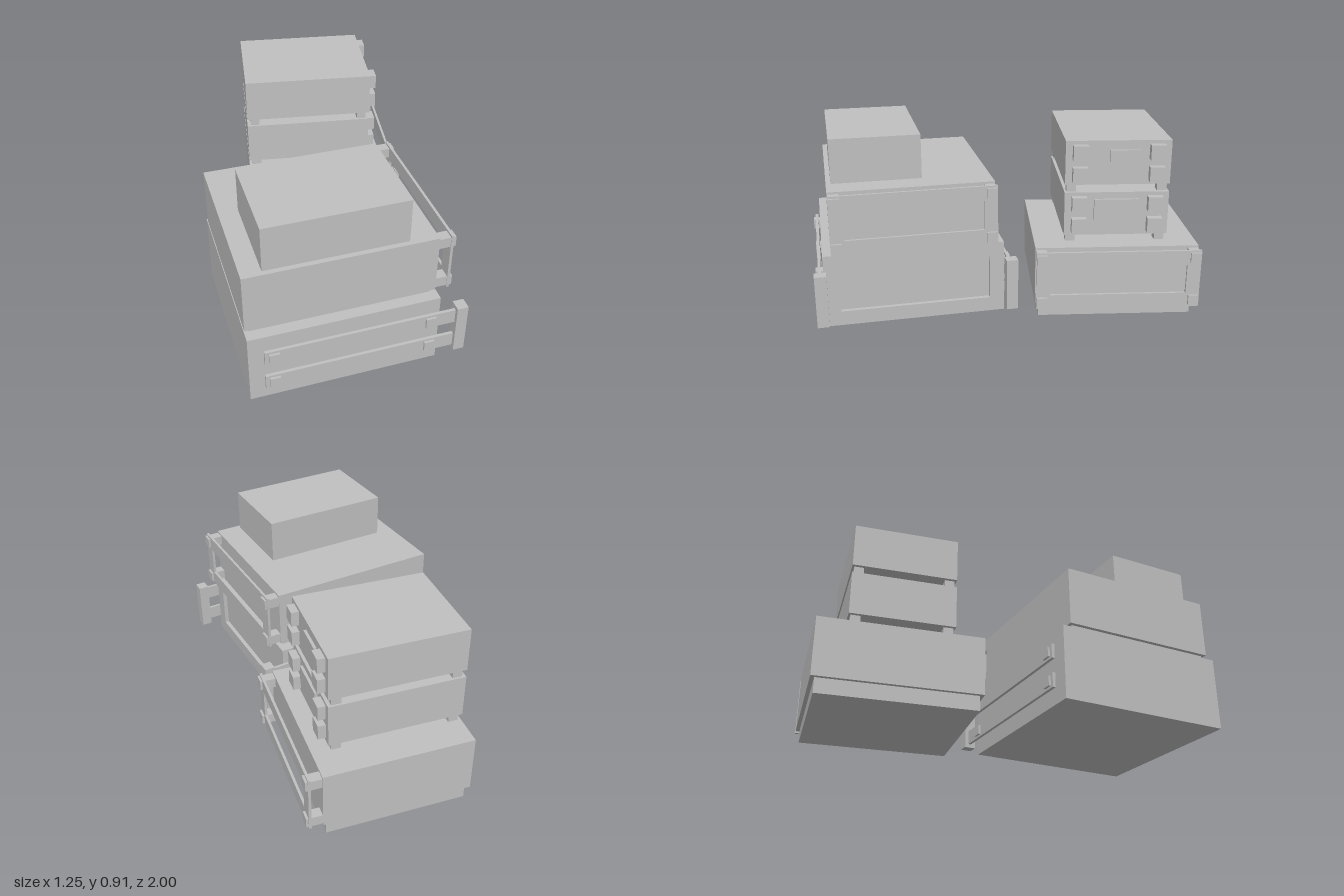
import * as THREE from 'three';

const grey = new THREE.MeshStandardMaterial({ color: 0xc0c0c0 });
grey.name = 'plain grey';

// Box given by its min and max on each axis
function box(parent, name, x0, x1, y0, y1, z0, z1) {
  const mesh = new THREE.Mesh(new THREE.BoxGeometry(x1 - x0, y1 - y0, z1 - z0), grey);
  mesh.position.set((x0 + x1) / 2, (y0 + y1) / 2, (z0 + z1) / 2);
  mesh.name = name;
  parent.add(mesh);
  return mesh;
}

// Rectangular frame facing +x, centred on (y, z), from x0 to x1
function frame(parent, name, x0, x1, y, z, halfH, halfD, holeH, holeD) {
  const rect = (target, w, h) => {
    target.moveTo(-w, -h);
    target.lineTo(w, -h);
    target.lineTo(w, h);
    target.lineTo(-w, h);
    target.closePath();
    return target;
  };
  const shape = rect(new THREE.Shape(), halfD, halfH);
  shape.holes.push(rect(new THREE.Path(), holeD, holeH));
  const geometry = new THREE.ExtrudeGeometry(shape, { depth: x1 - x0, bevelEnabled: false });
  geometry.rotateY(Math.PI / 2);
  const mesh = new THREE.Mesh(geometry, grey);
  mesh.position.set(x0, y, z);
  mesh.name = name;
  parent.add(mesh);
}

// Open frame held off a case's right face by four corner blocks
function standoffFrame(parent, faceX, y, z) {
  const group = new THREE.Group();
  group.name = 'standoffFrame';
  frame(group, 'guardFrame', faceX + 0.055, faceX + 0.068, y, z, 0.149, 0.406, 0.075, 0.338);
  for (const sy of [-1, 1]) for (const sz of [-1, 1]) {
    const cy = y + sy * 0.113, cz = z + sz * 0.377;
    box(group, 'cornerBlock', faceX, faceX + 0.08, cy - 0.026, cy + 0.026, cz - 0.026, cz + 0.026);
  }
  parent.add(group);
}

// Front stack: large case with side rails, framed case, small box
function frontStack() {
  const g = new THREE.Group();
  g.name = 'frontStack';
  const z = 0.508;
  box(g, 'lowerCase', -0.63, 0.255, 0, 0.372, 0.06, 0.956);
  frame(g, 'recessedPanelRim', 0.255, 0.277, 0.186, z, 0.186, 0.448, 0.112, 0.374);
  box(g, 'spacer', -0.61, 0.245, 0.372, 0.393, 0.12, 0.9);
  box(g, 'middleCase', -0.63, 0.265, 0.392, 0.69, 0.102, 0.914);
  standoffFrame(g, 0.265, 0.541, z);
  box(g, 'topBox', -0.535, 0.132, 0.69, 0.912, 0.445, 0.89);

  // Rails, their mounts and the upright at the end, on both sides
  for (const s of [-1, 1]) {
    const slab = (name, x0, x1, y0, y1, near, far) => box(g, name, x0, x1, y0, y1,
      Math.min(z + s * near, z + s * far), Math.max(z + s * near, z + s * far));
    for (const y of [0.114, 0.262]) {
      slab('sideRail', -0.56, 0.36, y - 0.037, y + 0.037, 0.458, 0.473);
      for (const x of [-0.517, 0.225]) {
        slab('railMount', x - 0.025, x + 0.025, y - 0.025, y + 0.025, 0.446, 0.484);
      }
    }
    slab('railUpright', 0.347, 0.401, 0.058, 0.32, 0.434, 0.492);
  }
  return g;
}

// Rear stack: framed case with two smaller units on feet, turned slightly
function rearStack() {
  const g = new THREE.Group();
  g.name = 'rearStack';
  g.position.set(0.105, 0, -0.535);
  g.rotation.y = -Math.PI / 18;
  box(g, 'plinth', -0.352, 0.352, 0, 0.076, -0.387, 0.387);
  box(g, 'baseCase', -0.371, 0.371, 0.076, 0.374, -0.406, 0.406);
  standoffFrame(g, 0.371, 0.225, 0);

  const units = [
    { y: 0.412, panel: [0.495, 0.6, -0.107, 0.113] },
    { y: 0.674, panel: [0.79, 0.85, -0.107, 0.042] },
  ];
  for (const { y, panel } of units) {
    box(g, 'unitCase', -0.371, 0.295, y, y + 0.222, -0.259, 0.259);
    box(g, 'facePanel', 0.295, 0.309, ...panel);
    for (const z of [-0.188, 0.188]) {
      for (const up of [0.057, 0.167]) {
        box(g, 'faceBlock', 0.295, 0.333, y + up - 0.037, y + up + 0.037, z - 0.037, z + 0.037);
      }
    }
    for (const x of [-0.33, 0.254]) for (const z of [-0.225, 0.225]) {
      box(g, 'foot', x - 0.024, x + 0.024, y - 0.039, y, z - 0.024, z + 0.024);
    }
  }
  return g;
}

export function createModel() {
  const model = new THREE.Group();
  model.name = 'stackedCases';
  model.add(frontStack(), rearStack());
  return model;
}
